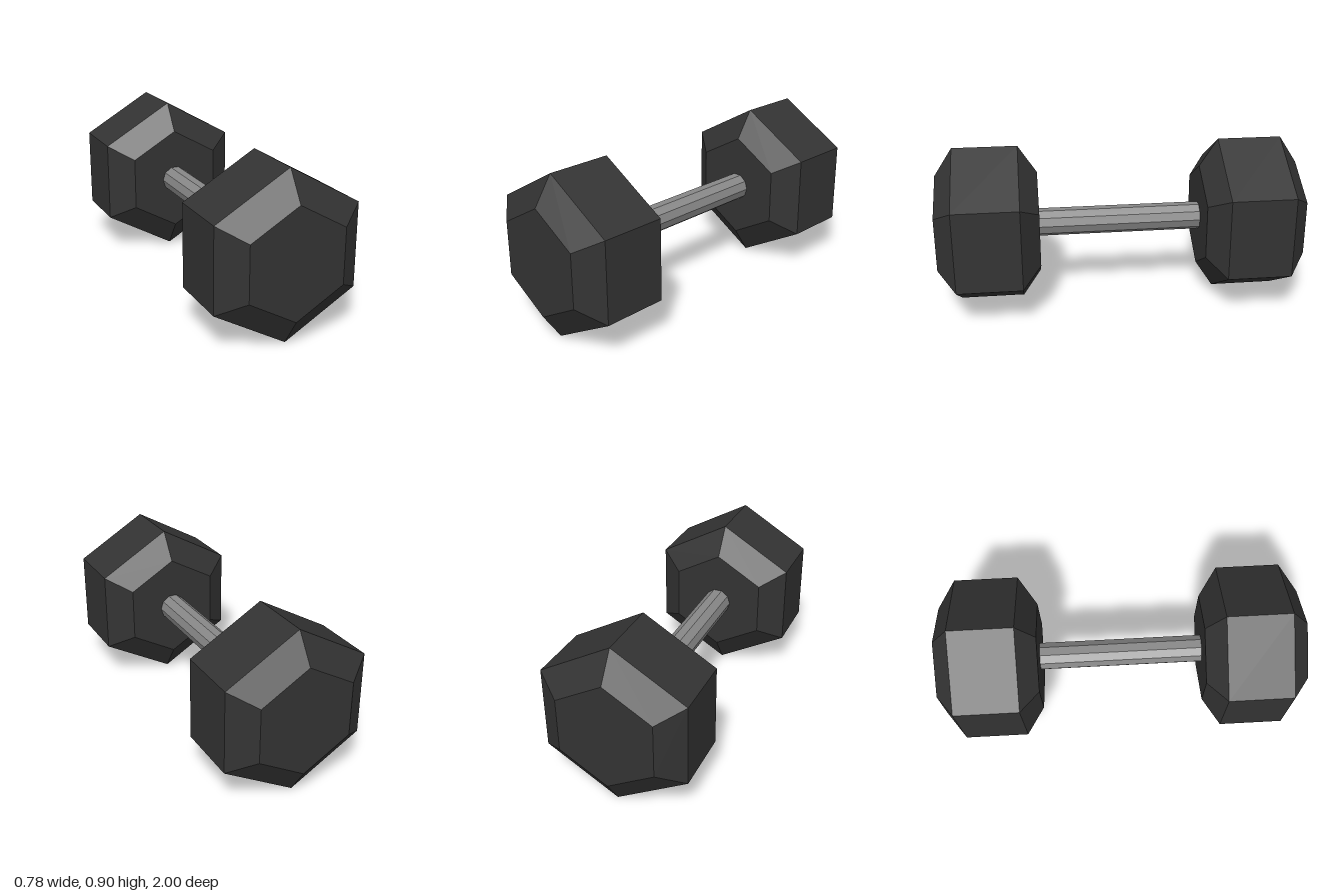
import * as THREE from 'three';

const CENTRE_Y = 0.449;

// Give every facet its own normal
function faceted(geometry) {
  const flat = geometry.toNonIndexed();
  flat.computeVertexNormals();
  return flat;
}

export function createModel() {
  const group = new THREE.Group();
  group.name = 'dumbbell';
  const rubber = new THREE.MeshStandardMaterial({ color: 0x333333 });
  rubber.name = 'dark rubber';
  const steel = new THREE.MeshStandardMaterial({ color: 0x888888 });
  steel.name = 'grey steel';

  // Hexagonal weight with bevelled ends, spun around y then laid along z
  const profile = [[0, -0.275], [0.296, -0.275], [0.449, -0.175], [0.449, 0.175], [0.296, 0.275], [0, 0.275]]
    .map(([r, y]) => new THREE.Vector2(r, y));
  const weightGeometry = faceted(new THREE.LatheGeometry(profile, 6).rotateX(Math.PI / 2));
  for (const [name, side] of [['frontWeight', 1], ['backWeight', -1]]) {
    const weight = new THREE.Mesh(weightGeometry, rubber);
    weight.name = name;
    weight.position.set(0, CENTRE_Y, side * 0.725);
    group.add(weight);
  }

  // Ten-sided handle, its ends sunk slightly into the weights
  const handle = new THREE.Mesh(
    faceted(new THREE.CylinderGeometry(0.077, 0.077, 0.94, 10, 1, false, Math.PI / 2).rotateX(Math.PI / 2)),
    steel
  );
  handle.name = 'handle';
  handle.position.y = CENTRE_Y;
  group.add(handle);

  return group;
}
